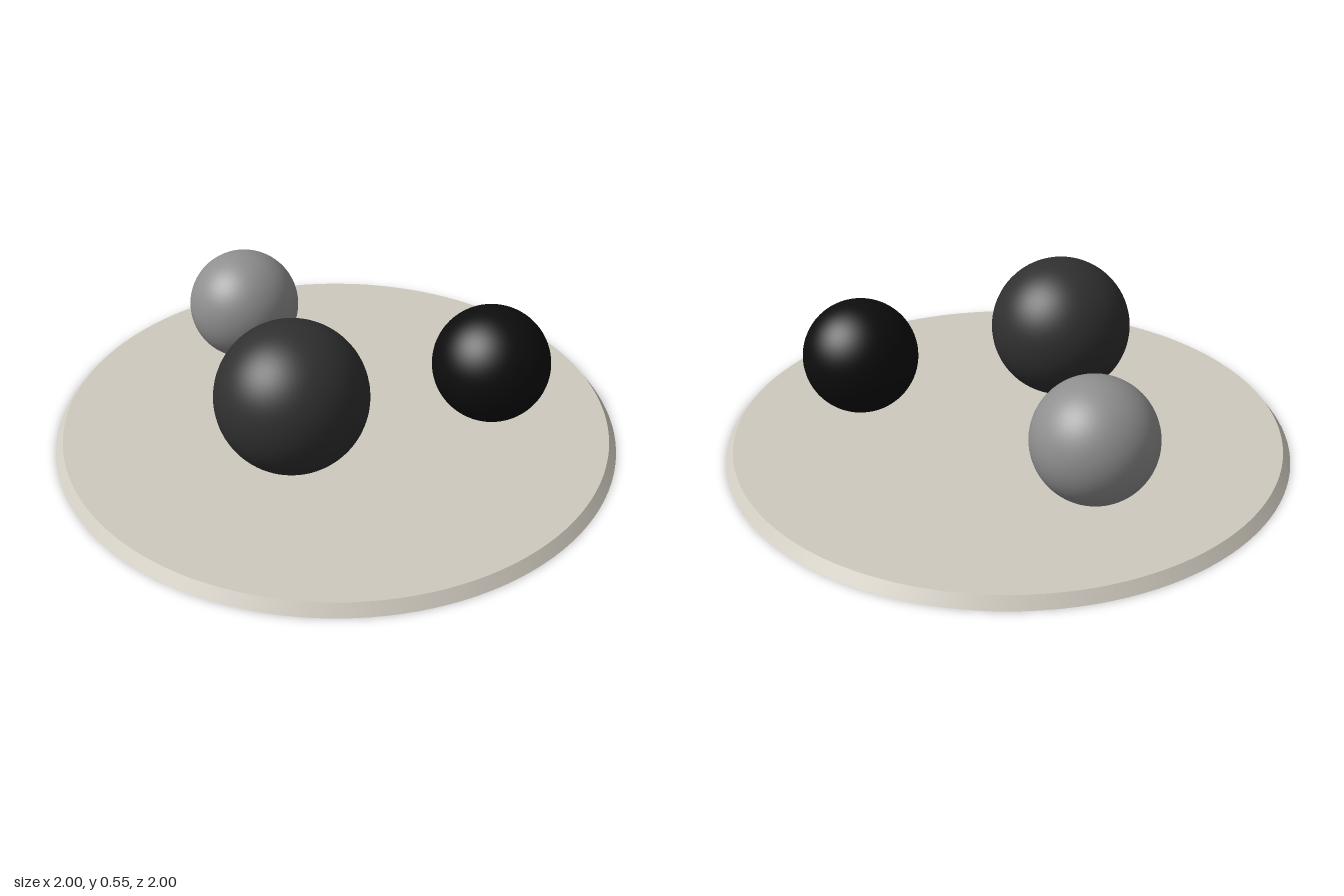
import * as THREE from 'three';

export function createModel() {
  const group = new THREE.Group();
  const mat = (name, color) => {
    const m = new THREE.MeshStandardMaterial({ color });
    m.name = name;
    return m;
  };
  const add = (name, geometry, material, x, y, z) => {
    const mesh = new THREE.Mesh(geometry, material);
    mesh.name = name;
    mesh.position.set(x, y, z);
    group.add(mesh);
  };

  // Shallow round base with a bevelled rim
  const baseHeight = 0.035;
  add('base', new THREE.CylinderGeometry(0.972, 1, baseHeight, 128),
    mat('warm stone', 0xcfcabf), 0, baseHeight / 2, 0);

  // Three balls resting on the base: name, radius, x, z, material
  const balls = [
    ['frontBall', 0.257, 0, 0.333, mat('charcoal', 0x303030)],
    ['leftBall', 0.208, 0.5, -0.222, mat('black', 0x0d0d0d)],
    ['rightBall', 0.208, -0.5, -0.222, mat('grey', 0x8f8f8f)],
  ];
  for (const [name, r, x, z, material] of balls) {
    add(name, new THREE.SphereGeometry(r, 64, 40), material, x, baseHeight + r, z);
  }
  return group;
}
